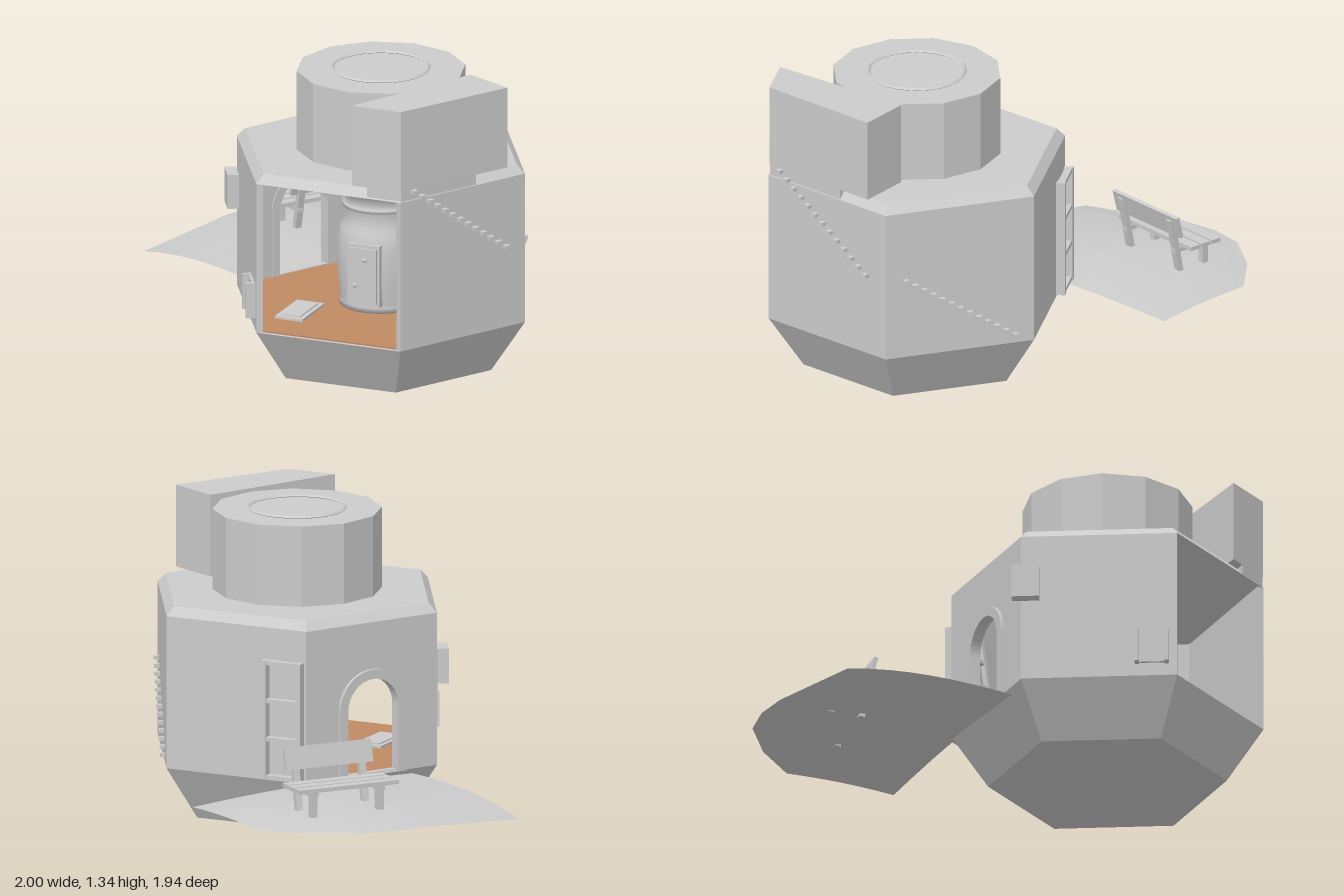
import * as THREE from 'three';

const CX = 0.32, CZ = 0.38, R = 0.68, AP = R * Math.sqrt(3) / 2;
const grey = new THREE.MeshStandardMaterial({ color: 0xcccccc, flatShading: true, side: THREE.DoubleSide });
const smooth = new THREE.MeshStandardMaterial({ color: 0xcccccc, side: THREE.DoubleSide });
const brown = new THREE.MeshStandardMaterial({ color: 0xc08a64, flatShading: true });

function add(parent, name, geo, x = 0, y = 0, z = 0, mat = grey) {
  const m = new THREE.Mesh(geo, mat);
  m.name = name;
  m.position.set(x, y, z);
  parent.add(m);
  return m;
}
const box = (w, h, d) => new THREE.BoxGeometry(w, h, d);

// Regular prism or frustum on the tower axis, with a corner pointing to +x
function ring(parent, name, rTop, rBottom, y0, y1, sides, mat = grey) {
  const g = new THREE.CylinderGeometry(rTop, rBottom, y1 - y0, sides);
  g.rotateY(Math.PI / 2);
  return add(parent, name, g, CX, (y0 + y1) / 2, CZ, mat);
}

// Upright prism over a plan outline of [x, z] points
function prism(parent, name, pts, y0, y1) {
  const s = new THREE.Shape(pts.map(([x, z]) => new THREE.Vector2(x, -z)));
  const g = new THREE.ExtrudeGeometry(s, { depth: y1 - y0, bevelEnabled: false });
  g.rotateX(-Math.PI / 2);
  return add(parent, name, g, 0, y0, 0);
}

// Group on one side of the hexagon: x along the wall, z outward
function side(parent, name, degrees) {
  const a = THREE.MathUtils.degToRad(degrees), g = new THREE.Group();
  g.name = name;
  g.position.set(CX + AP * Math.sin(a), 0, CZ + AP * Math.cos(a));
  g.rotation.y = a;
  parent.add(g);
  return g;
}

function archPath(path, w, y0, spring) {
  path.moveTo(-w, y0);
  path.lineTo(w, y0);
  path.lineTo(w, spring);
  path.absarc(0, spring, w, 0, Math.PI, false);
  path.lineTo(-w, y0);
  return path;
}

// Frame of two posts and evenly spaced rungs
function ladder(parent, name, w, h, d, rungs) {
  const g = new THREE.Group();
  g.name = name;
  for (const s of [-1, 1]) add(g, 'post', box(0.022, h, d), s * (w / 2 - 0.011), h / 2, 0);
  for (let i = 0; i < rungs; i++)
    add(g, 'rung', box(w - 0.04, 0.018, d * 0.8), 0, 0.01 + (h - 0.02) * i / (rungs - 1), 0);
  parent.add(g);
  return g;
}

function buildWalls(root) {
  const T = 0.03, H = 0.68, Y = 0.58;
  const plain = (g) => add(g, 'wallPanel', box(R, H, T), 0, Y, -T / 2);

  // Stepping pegs climb over the two right-hand walls
  const frontRight = side(root, 'frontRightWall', 60);
  const backRight = side(root, 'backRightWall', 120);
  plain(frontRight);
  plain(backRight);
  for (let i = 0; i < 13; i++) {
    const t = i / 12;
    add(frontRight, 'peg', box(0.025, 0.016, 0.03), -0.27 + 0.5 * t, 0.96 - 0.35 * t, 0.008);
    add(backRight, 'peg', box(0.025, 0.016, 0.03), -0.25 + 0.5 * t, 0.6 - 0.32 * t, 0.008);
  }

  // Back wall with an outside ladder frame
  const back = side(root, 'backWall', 180);
  plain(back);
  const frame = ladder(back, 'wallLadder', 0.19, 0.53, 0.04, 4);
  frame.position.set(0.235, 0.25, 0.02);

  // Back left wall with an arched doorway and its trim
  const doorSide = side(root, 'doorWall', 240);
  const wall = new THREE.Shape();
  wall.moveTo(-R / 2, 0.24);
  wall.lineTo(R / 2, 0.24);
  wall.lineTo(R / 2, 0.92);
  wall.lineTo(-R / 2, 0.92);
  wall.holes.push(archPath(new THREE.Path(), 0.13, 0.25, 0.54));
  add(doorSide, 'wallPanel', new THREE.ExtrudeGeometry(wall, { depth: T, bevelEnabled: false }), 0, 0, -T);
  const trim = archPath(new THREE.Shape(), 0.172, 0.24, 0.54);
  trim.holes.push(archPath(new THREE.Path(), 0.13, 0.245, 0.54));
  add(doorSide, 'doorTrim', new THREE.ExtrudeGeometry(trim, { depth: 0.05, bevelEnabled: false }), 0, 0, -0.035);

  // Front left wall with a box and a rack
  const left = side(root, 'frontLeftWall', 300);
  plain(left);
  add(left, 'wallBox', box(0.12, 0.155, 0.05), -0.32, 0.69, 0.025);
  add(left, 'rackPlate', box(0.13, 0.15, 0.012), 0.23, 0.375, 0.006);
  for (const s of [-1, 1]) add(left, 'rackBar', box(0.018, 0.16, 0.04), 0.23 + s * 0.065, 0.375, 0.02);
}

function buildStove(root) {
  const stove = new THREE.Group();
  stove.name = 'stove';
  stove.position.set(CX, 0, CZ);
  root.add(stove);
  const pts = [[0, 0.25], [0.18, 0.25], [0.18, 0.275], [0.175, 0.28], [0.186, 0.36], [0.19, 0.45], [0.188, 0.54],
    [0.175, 0.61], [0.155, 0.635], [0.155, 0.7], [0.168, 0.7], [0.168, 0.716], [0.155, 0.716], [0.155, 0.76],
    [0.2, 0.79], [0.205, 0.8], [0.205, 0.92]].map(([x, y]) => new THREE.Vector2(x, y));
  add(stove, 'stoveBody', new THREE.LatheGeometry(pts, 32), 0, 0, 0, smooth);
  add(stove, 'stoveDoorFrame', box(0.15, 0.28, 0.06), 0, 0.425, 0.165);
  add(stove, 'stoveDoor', box(0.125, 0.25, 0.03), 0, 0.425, 0.19);
  for (const [x, y] of [[0.01, 0.5], [-0.035, 0.38]])
    add(stove, 'knob', new THREE.SphereGeometry(0.01, 10, 8), x, y, 0.208, smooth);
}

function buildGround(root) {
  // Sheet of ground spread outward from the wall line to a rounded far edge
  const near = new THREE.LineCurve3(new THREE.Vector3(-0.28, 0, 0.29), new THREE.Vector3(0.28, 0, -0.71));
  const far = [[-1, -0.1], [-0.81, -0.58], [-0.73, -0.73], [-0.62, -0.85], [-0.4, -0.94], [-0.17, -0.97]];
  const stops = [0, 0.4, 0.55, 0.68, 0.84, 1], rows = 8;
  const pos = [], index = [];
  stops.forEach((u, i) => {
    const a = near.getPoint(u);
    for (let j = 0; j <= rows; j++) {
      const v = j / rows;
      const hump = Math.sin(Math.PI * (0.15 + 0.75 * u)) * Math.sin(Math.PI * (0.2 + 0.68 * v));
      const y = 0.2 + 0.055 * hump - 0.045 * (1 - u) ** 3 * v ** 3;
      pos.push(a.x + (far[i][0] - a.x) * v, y, a.z + (far[i][1] - a.z) * v);
      if (i && j) {
        const k = i * (rows + 1) + j, p = k - rows - 1;
        index.push(p - 1, k - 1, p, k - 1, k, p);
      }
    }
  });
  const g = new THREE.BufferGeometry();
  g.setAttribute('position', new THREE.Float32BufferAttribute(pos, 3));
  g.setIndex(index);
  g.computeVertexNormals();
  add(root, 'ground', g);
}

function buildBench(root) {
  const bench = new THREE.Group();
  bench.name = 'bench';
  bench.position.set(-0.36, 0, -0.58);
  bench.rotation.y = 0.92;
  root.add(bench);
  for (const z of [-0.09, -0.03, 0.03]) add(bench, 'seatSlat', box(0.48, 0.018, 0.05), 0, 0.362, z);
  add(bench, 'backrest', box(0.42, 0.1, 0.018), 0, 0.465, 0.095).rotation.x = 0.25;
  for (const s of [-1, 1]) {
    add(bench, 'seatRail', box(0.03, 0.022, 0.2), s * 0.16, 0.342, -0.01);
    add(bench, 'frontLeg', box(0.03, 0.11, 0.03), s * 0.16, 0.295, -0.085);
    add(bench, 'backLeg', box(0.03, 0.26, 0.025), s * 0.16, 0.365, 0.08).rotation.x = 0.2;
  }
}

export function createModel() {
  const root = new THREE.Group();
  root.name = 'hexagonalHut';

  // Tapered base, floor and roof
  ring(root, 'base', R, 0.52, 0, 0.24, 6);
  ring(root, 'floor', 0.66, 0.66, 0.235, 0.247, 6, brown);
  ring(root, 'roof', 0.64, R, 0.92, 0.96, 6);
  ring(root, 'drum', 0.37, 0.37, 0.955, 1.318, 12);
  add(root, 'drumRim', new THREE.TorusGeometry(0.21, 0.008, 4, 32).rotateX(Math.PI / 2), CX, 1.321, CZ);

  buildWalls(root);

  // Raised block above the front right wall
  prism(root, 'upperBlock', [[0.43, 0.965], [0.66, 0.965], [0.955, 0.47], [0.735, 0.365]], 0.97, 1.335);
  prism(root, 'blockFooting', [[0.5, 0.964], [0.66, 0.964], [0.865, 0.61], [0.74, 0.54]], 0.92, 0.97);

  buildStove(root);

  // Things inside the room
  add(root, 'mat', box(0.13, 0.012, 0.25), 0.05, 0.252, 0.65);
  add(root, 'matCentre', box(0.09, 0.006, 0.2), 0.05, 0.26, 0.65);
  const inner = ladder(root, 'innerLadder', 0.14, 0.53, 0.02, 5);
  inner.position.set(0.08, 0.247, -0.09);
  inner.rotation.x = -0.14;
  for (const z of [0.45, 0.6])
    add(root, 'stairRail', box(0.02, 0.22, 0.02), 0.61, 0.37, z).rotation.z = -0.65;
  for (let i = 0; i < 3; i++)
    add(root, 'stairTread', box(0.05, 0.012, 0.15), 0.565 + i * 0.045, 0.31 + i * 0.06, 0.525);

  buildGround(root);
  buildBench(root);
  return root;
}
